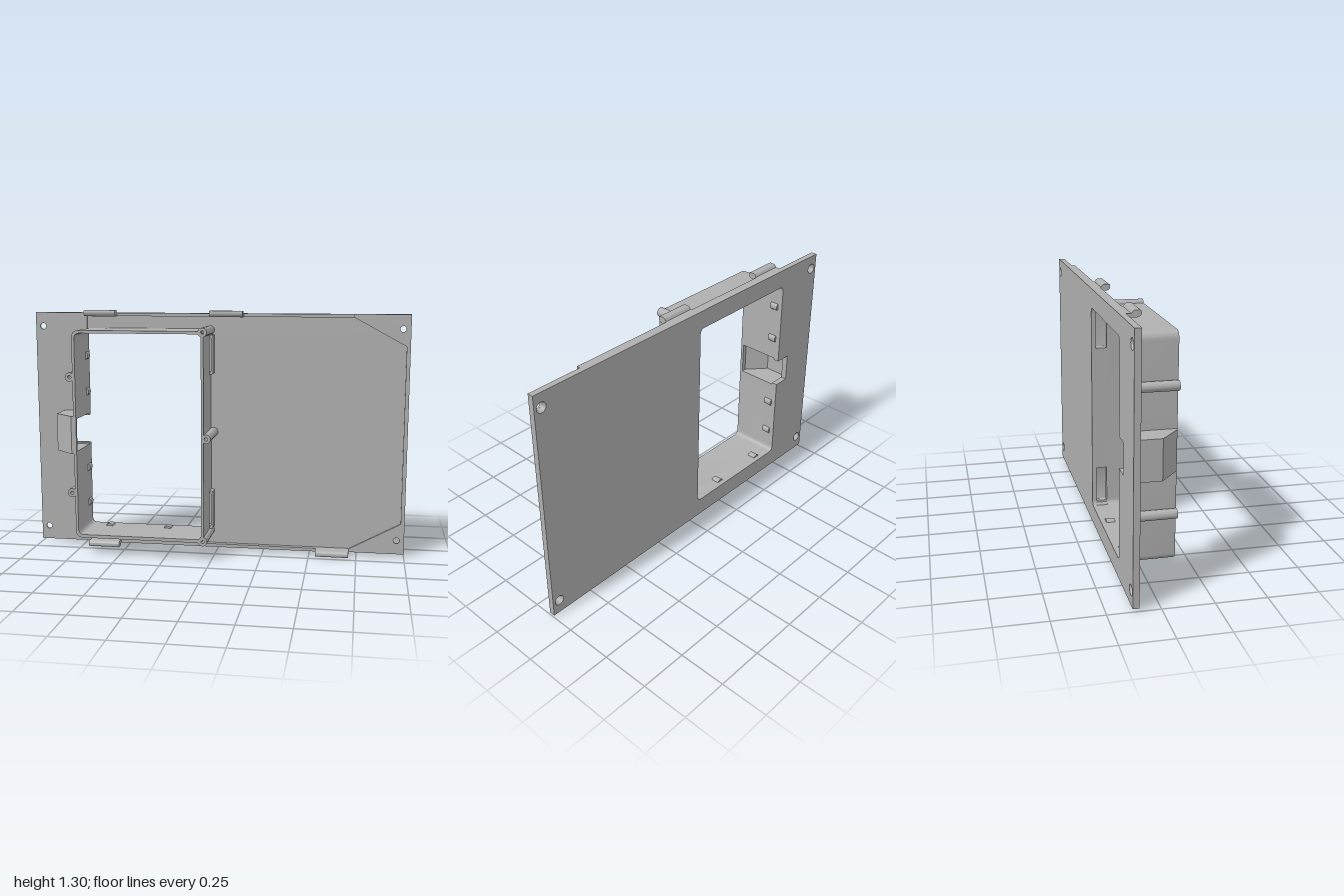
import * as THREE from 'three';
import { toCreasedNormals } from 'three/addons/utils/BufferGeometryUtils.js';

const MID = 0.649; // height of the horizontal mirror line
const BACK = -0.132, FLOOR = -0.111, FACE = -0.101, RIM = 0.134;

// Traces a closed outline of [x, y, radius] points with rounded corners.
function trace(path, pts) {
  const v = pts.map(p => new THREE.Vector2(p[0], p[1]));
  v.forEach((p, i) => {
    const a = v[(i + v.length - 1) % v.length], b = v[(i + 1) % v.length];
    const r = Math.min(pts[i][2] || 0, a.distanceTo(p) / 2, b.distanceTo(p) / 2);
    const toward = q => q.clone().sub(p).setLength(r).add(p);
    const s = r ? toward(a) : p, e = r ? toward(b) : p;
    if (i === 0) path.moveTo(s.x, s.y); else path.lineTo(s.x, s.y);
    if (r) path.quadraticCurveTo(p.x, p.y, e.x, e.y);
  });
  path.closePath();
  return path;
}
const shapeOf = (pts, holes = []) => {
  const s = trace(new THREE.Shape(), pts);
  s.holes.push(...holes);
  return s;
};
const holeOf = pts => trace(new THREE.Path(), pts);
const circle = (x, y, r) => new THREE.Path().absarc(x, y, r, 0, Math.PI * 2, true);
const rect = (x0, y0, x1, y1, r = 0) => [[x0, y0, r], [x1, y0, r], [x1, y1, r], [x0, y1, r]];
const flip = pts => pts.map(([x, y, r]) => [x, 2 * MID - y, r]);

export function createModel() {
  const group = new THREE.Group();
  const grey = new THREE.MeshStandardMaterial({ color: 0xb0b0b0 });
  grey.name = 'grey plastic';
  grey.side = THREE.DoubleSide;

  const add = (name, geometry) => {
    const mesh = new THREE.Mesh(geometry, grey);
    mesh.name = name;
    group.add(mesh);
    return mesh;
  };
  const extrude = (shape, depth) => toCreasedNormals(
    new THREE.ExtrudeGeometry(shape, { depth, bevelEnabled: false, curveSegments: 10 }), 0.6);
  // Slab between two z levels
  const slab = (name, shape, z0, z1) => add(name, extrude(shape, z1 - z0).translate(0, 0, z0));

  // Mounting plate: back layer, and a front layer that surrounds a shallow recess
  const plate = rect(-1, 0.016, 1, 1.282);
  const screws = [-0.96, 0.96].flatMap(x => [0.09, 1.208].map(y => [x, y]));
  const screwHoles = r => screws.map(([x, y]) => circle(x, y, r));
  const notch = [[-0.714, 0.573], [-0.8, 0.573], [-0.8, 0.725], [-0.714, 0.725]];
  const opening = [[-0.714, 0.115, 0.03], ...notch, [-0.714, 1.185, 0.03],
    [-0.05, 1.185, 0.03], [-0.05, 0.115, 0.03]];
  slab('plateBack', shapeOf(plate, [holeOf(opening), ...screwHoles(0.027)]), BACK, FLOOR);
  const recess = [[-0.714, 0.033], ...notch, [-0.714, 1.265], [0.71, 1.265],
    [0.98, 1.118], [0.98, 0.18], [0.71, 0.033]];
  slab('plateFront', shapeOf(plate, [holeOf(recess), ...screwHoles(0.016)]), FLOOR, FACE);

  // Countersinks on the back
  for (const [x, y] of screws) {
    add('countersink', new THREE.CylinderGeometry(0.016, 0.027, FLOOR - BACK, 24, 1, true)
      .rotateX(Math.PI / 2).translate(x, y, (FLOOR + BACK) / 2));
  }

  // Raised lips along the upper and lower edges
  const lip = rect(-0.71, 1.265, 0.71, 1.282);
  slab('upperLip', shapeOf(lip), FACE, -0.083);
  slab('lowerLip', shapeOf(flip(lip)), FACE, -0.083);

  // Hooked tabs, profile in z and y
  const hook = [[FACE, 1.265], [FACE, 1.282], [-0.078, 1.282], [-0.068, 1.297, 0.006],
    [-0.032, 1.297, 0.01], [-0.032, 1.273, 0.01], [-0.048, 1.264, 0.006]];
  const tab = (name, pts, x0, x1) => add(name,
    extrude(shapeOf(pts), x1 - x0).rotateY(-Math.PI / 2).translate(x1, 0, 0));
  tab('upperTab', hook, -0.71, -0.54);
  tab('upperTab', hook, -0.035, 0.14);
  tab('lowerTab', flip(hook), -0.71, -0.54);
  tab('lowerTab', flip(hook), 0.535, 0.71);

  // Box walls, open at the side chute; the deepest layer carries two hollow ridges
  const bulge = (x, out, top, bottom) =>
    [[x, top], [out, top, 0.012], [out, bottom, 0.012], [x, bottom]];
  const walls = ridged => {
    const outerRidges = ridged
      ? [...bulge(-0.037, -0.018, 1.172, 0.964), ...bulge(-0.037, -0.018, 0.334, 0.126)] : [];
    const innerRidges = ridged
      ? [...bulge(-0.05, -0.029, 0.324, 0.138), ...bulge(-0.05, -0.029, 1.16, 0.974)] : [];
    if (ridged) { // the inner outline runs upward
      innerRidges.splice(0, 4, ...bulge(-0.05, -0.029, 0.138, 0.324));
      innerRidges.splice(4, 4, ...bulge(-0.05, -0.029, 0.974, 1.16));
    }
    return shapeOf([
      [-0.728, 0.75], [-0.728, 1.2, 0.04], [-0.037, 1.2, 0.03], ...outerRidges,
      [-0.037, 0.098, 0.03], [-0.728, 0.098, 0.04], [-0.728, 0.55],
      [-0.714, 0.55], [-0.714, 0.115, 0.03], [-0.05, 0.115, 0.03], ...innerRidges,
      [-0.05, 1.185, 0.03], [-0.714, 1.185, 0.03], [-0.714, 0.75]]);
  };
  slab('boxWallsWithRidges', walls(true), FLOOR, -0.055);
  slab('boxWalls', walls(false), -0.055, 0.12);
  slab('boxRim', shapeOf(rect(-0.728, 0.098, -0.037, 1.2, 0.04),
    [holeOf(rect(-0.714, 0.115, -0.05, 1.185, 0.03))]), 0.12, RIM);

  // Side chute: sloped shell with two cheeks, profile in x and -z
  const across = (name, pts, y0, y1) => add(name,
    extrude(shapeOf(pts.map(([x, z]) => [x, -z])), y1 - y0).rotateX(-Math.PI / 2).translate(0, y0, 0));
  const outside = [[-0.85, FACE], [-0.85, 0.036], [-0.742, 0.13], [-0.714, 0.13]];
  const inside = [[-0.714, 0.118], [-0.738, 0.118], [-0.838, 0.03], [-0.838, FACE]];
  across('chuteShell', [...outside, ...inside], 0.55, 0.75);
  for (const y of [0.55, 0.736]) {
    across('chuteCheek', [...outside, [-0.714, FACE]], y, y + 0.014);
  }

  // Screw bosses around the box
  const bosses = [[-0.043, 1.194], [-0.024, MID], [-0.043, 0.104], [-0.744, 0.957], [-0.744, 0.341]];
  for (const [x, y] of bosses) {
    const ring = new THREE.Shape().absarc(x, y, 0.024, 0, Math.PI * 2, false);
    ring.holes.push(circle(x, y, 0.009));
    slab('screwBoss', ring, FLOOR, RIM);
  }

  // Small catches on the inner walls
  const bump = (x, y, sx, sy) => {
    const mesh = add('catch', new THREE.CylinderGeometry(1, 1, 0.045, 16).rotateX(Math.PI / 2));
    mesh.scale.set(sx, sy, 1);
    mesh.position.set(x, y, -0.083);
  };
  for (const y of [0.245, 0.44, 0.858, 1.053]) bump(-0.716, y, 0.014, 0.02);
  for (const x of [-0.598, -0.272]) {
    bump(x, 1.187, 0.02, 0.014);
    bump(x, 0.113, 0.02, 0.014);
  }

  return group;
}
